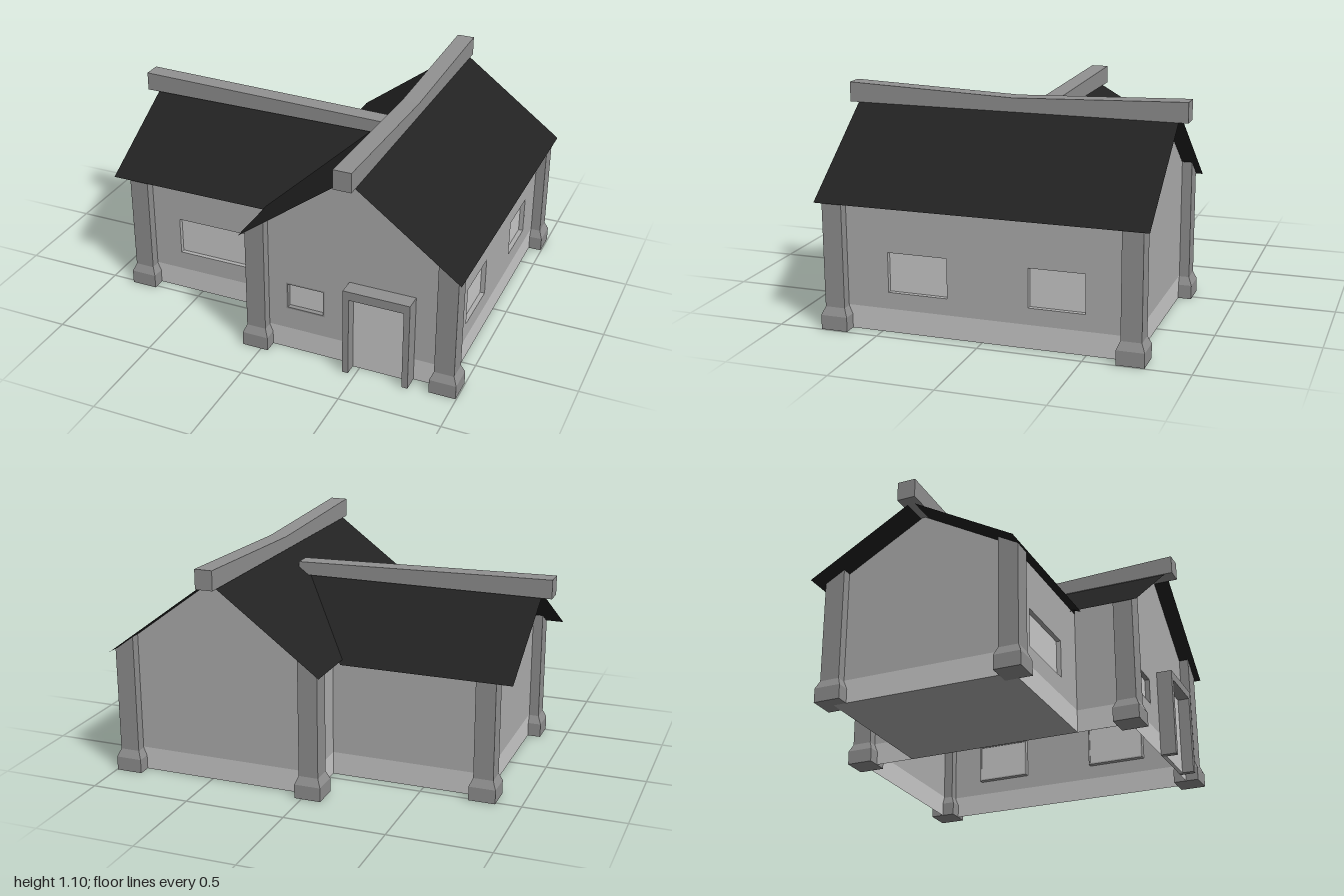
import * as THREE from 'three';

const paint = (color) => new THREE.MeshStandardMaterial({ color, side: THREE.DoubleSide, flatShading: true });
const LIGHT = paint(0xcccccc), WALL = paint(0xafafaf), TRIM = paint(0x919191), ROOF = paint(0x222222);

// Roof heights of the main block and the side wing
const mainRoof = (x) => 1.03 - 0.745 * Math.abs(x - 0.45);
const wingRoof = (x, z) => 0.9 - 0.565 * Math.abs(z + 0.005);
const PLINTH = 0.115;

function add(parent, name, geometry, material, x = 0, y = 0, z = 0) {
  const mesh = new THREE.Mesh(geometry, material);
  mesh.name = name;
  mesh.position.set(x, y, z);
  parent.add(mesh);
  return mesh;
}

const outline = (points) => new THREE.Shape(points.map(([x, y]) => new THREE.Vector2(x, y)));
const rect = (x0, x1, y0, y1) => [[x0, y0], [x1, y0], [x1, y1], [x0, y1]];

// Box whose top corners follow a height rule
function toppedBox(x0, x1, y0, z0, z1, top, zSegments = 1) {
  const geo = new THREE.BoxGeometry(x1 - x0, 1, z1 - z0, 1, 1, zSegments);
  geo.translate((x0 + x1) / 2, 0.5, (z0 + z1) / 2);
  const p = geo.attributes.position;
  for (let i = 0; i < p.count; i++) p.setY(i, p.getY(i) > 0.5 ? top(p.getX(i), p.getZ(i)) : y0);
  geo.computeVertexNormals();
  return geo;
}

// Flat panel from corners in order
function panel(corners) {
  const geo = new THREE.BufferGeometry();
  geo.setAttribute('position', new THREE.Float32BufferAttribute(corners.flat(), 3));
  geo.setIndex([0, 1, 2, 0, 2, 3]);
  geo.computeVertexNormals();
  return geo;
}

// Wall in its own plane: u runs to the viewer's right, windows are [u0, u1, y0, y1, framed]
function wall(parent, name, u0, u1, topPoints, windows, position, turn) {
  const group = new THREE.Group();
  group.name = name;
  group.position.set(...position);
  group.rotation.y = turn;
  parent.add(group);

  const shape = outline([[u0, PLINTH], [u1, PLINTH], ...topPoints]);
  for (const [a, b, c, d, framed] of windows) {
    const hole = outline(rect(a, b, c, d));
    shape.holes.push(hole);
    // Recess lining with the pane at its back
    const ring = outline(rect(a - 0.008, b + 0.008, c - 0.008, d + 0.008));
    ring.holes.push(hole);
    add(group, 'windowReveal', new THREE.ExtrudeGeometry(ring, { depth: 0.028, bevelEnabled: false }), WALL, 0, 0, -0.03);
    add(group, 'windowPane', new THREE.PlaneGeometry(b - a + 0.01, d - c + 0.01), LIGHT, (a + b) / 2, (c + d) / 2, -0.025);
    if (framed) {
      const frame = outline(rect(a, b, c, d));
      frame.holes.push(outline(rect(a + 0.008, b - 0.008, c + 0.008, d - 0.008)));
      add(group, 'windowFrame', new THREE.ExtrudeGeometry(frame, { depth: 0.024, bevelEnabled: false }), TRIM, 0, 0, -0.024);
    }
  }
  add(group, 'wallFace', new THREE.ShapeGeometry(shape), WALL);
  add(group, 'plinth', new THREE.PlaneGeometry(u1 - u0, PLINTH), LIGHT, (u0 + u1) / 2, PLINTH / 2, 0);
}

// Corner pillar with a chamfered foot and a top cut to the roof slope
function pillar(parent, name, x, z, roof) {
  const group = new THREE.Group();
  group.name = name;
  parent.add(group);
  const r = 0.049, f = 0.066;
  add(group, 'shaft', toppedBox(x - r, x + r, 0.07, z - r, z + r, (px, pz) => roof(px, pz) - 0.004), TRIM);
  add(group, 'foot', new THREE.BoxGeometry(2 * f, 0.07, 2 * f), TRIM, x, 0.035, z);
  const chamfer = new THREE.CylinderGeometry(r * Math.SQRT2, f * Math.SQRT2, 0.04, 4, 1, true);
  chamfer.rotateY(Math.PI / 4);
  add(group, 'footChamfer', chamfer, TRIM, x, 0.09, z);
}

export function createModel() {
  const house = new THREE.Group();
  house.name = 'house';
  const quarter = Math.PI / 2;
  const X0 = -0.03, X1 = 0.93, Z = 0.72, WX = -0.81, WZ = 0.45;
  const lift = 0.005;

  // Main block walls
  const gable = [[X1, mainRoof(X1) - lift], [0.45, mainRoof(0.45) - lift], [X0, mainRoof(X0) - lift]];
  const backGable = gable.map(([x, y]) => [-x, y]).reverse();
  const eave = mainRoof(X1) - lift;
  wall(house, 'frontWall', X0, X1, gable, [[0.11, 0.31, 0.225, 0.37, true]], [0, 0, Z], 0);
  wall(house, 'backWall', -X1, -X0, backGable, [], [0, 0, -Z], Math.PI);
  wall(house, 'leftWall', -Z, Z, [[Z, eave], [-Z, eave]],
    [[-0.465, -0.17, 0.195, 0.39], [0.225, 0.495, 0.195, 0.385]], [X1, 0, 0], quarter);
  const low = mainRoof(X0) - lift;
  for (const [a, b] of [[-Z, -WZ], [WZ, Z]])
    wall(house, 'rightWall', a, b, [[b, low], [a, low]], [], [X0, 0, 0], -quarter);

  // Wing walls and floor
  const wf = wingRoof(0, WZ) - lift, wb = wingRoof(0, -WZ) - lift;
  wall(house, 'wingFrontWall', WX, X0, [[X0, wf], [WX, wf]], [[-0.615, -0.225, 0.21, 0.405]], [0, 0, WZ], 0);
  wall(house, 'wingBackWall', -X0, -WX, [[-WX, wb], [-X0, wb]], [], [0, 0, -WZ], Math.PI);
  wall(house, 'wingEndWall', -WZ, WZ, [[WZ, wf], [-0.005, 0.895], [-WZ, wb]], [], [WX, 0, 0], -quarter);
  add(house, 'wingFloor', panel([[WX, 0, -WZ], [X0, 0, -WZ], [X0, 0, WZ], [WX, 0, WZ]]), WALL);

  // Pillars
  for (const s of [1, -1]) {
    for (const x of [X0, X1]) pillar(house, 'cornerPillar', x, s * Z, mainRoof);
    pillar(house, 'wingPillar', WX, s * WZ, wingRoof);
  }

  // Door and its surround
  const surround = outline([[0.435, 0], [0.465, 0], [0.465, 0.41], [0.735, 0.41], [0.735, 0],
    [0.765, 0], [0.765, 0.455], [0.435, 0.455]]);
  add(house, 'doorSurround', new THREE.ExtrudeGeometry(surround, { depth: 0.08, bevelEnabled: false }), TRIM, 0, 0, Z);
  add(house, 'door', new THREE.BoxGeometry(0.27, 0.41, 0.02), LIGHT, 0.6, 0.205, Z + 0.01);

  // Roof slopes; the wing's are trimmed along the valleys
  for (const x of [-0.1, 1]) {
    const y = mainRoof(x), s = x > 0.45 ? 1 : -1;
    add(house, 'mainRoofSlope', panel([[0.45, 1.03, 0.8 * s], [x, y, 0.8 * s], [x, y, -0.8 * s], [0.45, 1.03, -0.8 * s]]), ROOF);
  }
  for (const z of [0.51, -0.53]) {
    const y = wingRoof(0, z);
    const corners = [[-0.945, 0.9, -0.005], [-0.945, y, z], [-0.1, y, z], [0.276, 0.9, -0.005]];
    add(house, 'wingRoofSlope', panel(z > 0 ? corners : corners.reverse()), ROOF);
  }

  // Ridge beams rising toward their free ends
  add(house, 'mainRidge', toppedBox(0.403, 0.492, 1.0, -0.845, 0.845, (x, z) => 1.068 + 0.035 * Math.abs(z), 2), TRIM);
  add(house, 'wingRidge', toppedBox(-1, 0.315, 0.89, -0.048, 0.042, (x) => 0.985 - 0.0225 * (x + 1)), TRIM);

  return house;
}
